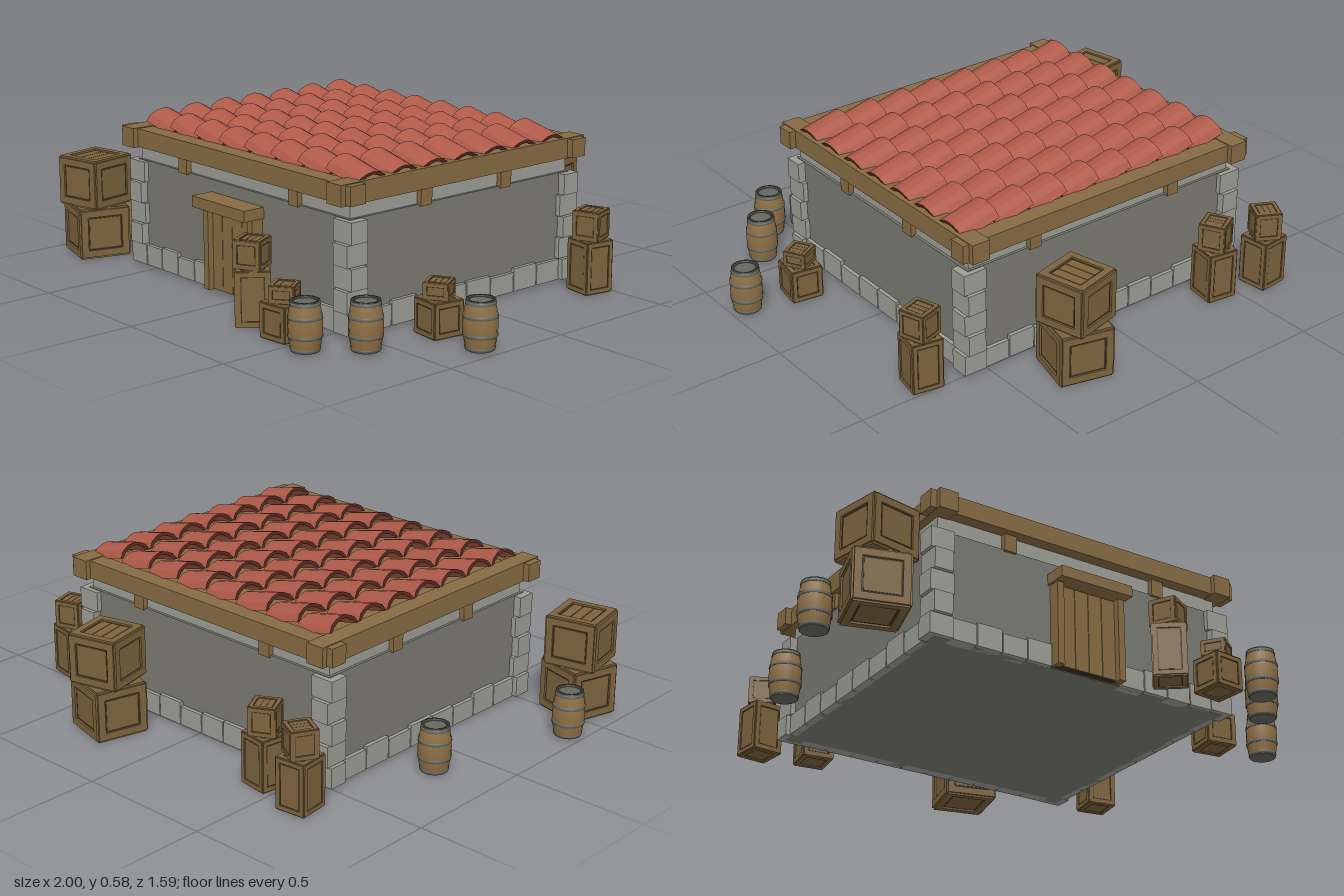
import * as THREE from 'three';

const mat = (name, color) => {
  const m = new THREE.MeshStandardMaterial({ color });
  m.name = name;
  return m;
};

export function createModel() {
  const wood = mat('beamWood', 0x866b43);
  const crateWood = mat('crateWood', 0x7d643e);
  const darkWood = mat('darkWood', 0x40341f);
  const wall = mat('plasterGrey', 0x7a7a72);
  const stone = mat('lightStone', 0x9d9d96);
  const tileRed = mat('tileRed', 0xae5948);
  const tileDark = mat('tileShade', 0x54291f);
  const barrelWood = mat('barrelWood', 0x8f7045);
  const iron = mat('barrelIron', 0x66675f);
  const rimDark = mat('rimDark', 0x3a3b32);

  const model = new THREE.Group();
  model.name = 'storehouse';

  const add = (parent, name, geo, material, x = 0, y = 0, z = 0) => {
    const m = new THREE.Mesh(geo, material);
    m.name = name;
    m.position.set(x, y, z);
    parent.add(m);
    return m;
  };
  // box given by its minimum and maximum corners
  const box = (parent, name, material, x0, x1, y0, y1, z0, z1) =>
    add(parent, name, new THREE.BoxGeometry(x1 - x0, y1 - y0, z1 - z0), material,
      (x0 + x1) / 2, (y0 + y1) / 2, (z0 + z1) / 2);

  // the house is centred slightly off the origin
  const house = new THREE.Group();
  house.name = 'house';
  house.position.set(-0.017, 0, 0.02);
  model.add(house);
  const W = 0.585, D = 0.515; // half width and half depth of the walls

  // walls, upper stone band, roof deck
  box(house, 'walls', wall, -W, W, 0.012, 0.4, -D, D);
  box(house, 'upperBand', stone, -W + 0.01, W - 0.01, 0.4, 0.46, -D + 0.01, D - 0.01);
  box(house, 'roofDeck', wood, -0.58, 0.58, 0.46, 0.508, -0.5, 0.5);

  // corner stones, alternating long and short
  for (const sx of [-1, 1]) for (const sz of [-1, 1]) for (let i = 0; i < 5; i++) {
    const odd = i % 2;
    const w = odd ? 0.07 : 0.09, d = odd ? 0.09 : 0.07;
    const ox = W + (odd ? 0.018 : 0.028), oz = D + (odd ? 0.028 : 0.018);
    add(house, 'cornerStone', new THREE.BoxGeometry(w, 0.075, d), stone,
      sx * (ox - w / 2), 0.05 + i * 0.0775, sz * (oz - d / 2));
  }

  // stones along the foot of every wall, leaving room for the door
  const heights = [0.075, 0.083, 0.07, 0.08, 0.078, 0.07, 0.085];
  const footRow = (from, to, n, place) => {
    const step = (to - from) / n;
    for (let i = 0; i < n; i++) place(from + i * step + 0.002, from + (i + 1) * step - 0.002, 0.012 + heights[i % 7]);
  };
  for (const [a, b, n] of [[-0.53, -0.14, 4], [0.14, 0.53, 4]])
    footRow(a, b, n, (p, q, h) => box(house, 'footStone', stone, p, q, 0.012, h, D - 0.03, D + 0.014));
  footRow(-0.53, 0.53, 10, (p, q, h) => box(house, 'footStone', stone, p, q, 0.012, h, -D - 0.014, -D + 0.03));
  for (const s of [-1, 1]) footRow(-0.46, 0.46, 8, (p, q, h) => {
    const c = s * W;
    box(house, 'footStone', stone, c - 0.014, c + 0.014, 0.012, h, p, q);
  });

  // crossing roof beams and the short posts below them
  for (const s of [-1, 1]) {
    add(house, 'longBeam', new THREE.BoxGeometry(1.256, 0.066, 0.066), wood, 0, 0.489, s * 0.517);
    add(house, 'crossBeam', new THREE.BoxGeometry(0.07, 0.072, 1.138), wood, s * 0.569, 0.489, 0);
    for (const x of [-0.3, 0.31])
      add(house, 'beamPost', new THREE.BoxGeometry(0.048, 0.062, 0.04), wood, x, 0.425, s * (D - 0.01));
    for (const z of [-0.187, 0.187])
      add(house, 'beamPost', new THREE.BoxGeometry(0.04, 0.062, 0.05), wood, s * (W - 0.01), 0.425, z);
  }

  // plank door with jambs and a deep lintel
  box(house, 'doorBacking', darkWood, -0.13, 0.13, 0.015, 0.315, 0.5, 0.534);
  for (let i = 0; i < 4; i++) {
    const x = -0.11 + i * 0.055;
    box(house, 'doorPlank', wood, x + 0.001, x + 0.054, 0.018, 0.313, 0.52, 0.54);
  }
  for (const s of [-1, 1])
    add(house, 'doorJamb', new THREE.BoxGeometry(0.026, 0.303, 0.06), wood, s * 0.124, 0.1665, 0.53);
  box(house, 'doorLintel', wood, -0.146, 0.144, 0.316, 0.356, 0.49, 0.6);

  // arched roof tiles, each tilted so its high end overlaps the next
  const outer = [[-0.069, 0], [-0.054, 0.024], [-0.027, 0.038], [0, 0.043], [0.027, 0.038], [0.054, 0.024], [0.069, 0]];
  const inner = outer.map(([x, y]) => [x * 0.84, Math.max(0, y - 0.011)]).reverse();
  const tileShape = new THREE.Shape([...outer, ...inner].map(([x, y]) => new THREE.Vector2(x, y)));
  const tileGeo = new THREE.ExtrudeGeometry(tileShape, { depth: 0.152, bevelEnabled: false });
  tileGeo.rotateY(Math.PI / 2).rotateZ(-0.23);
  for (let r = 0; r < 7; r++) for (let c = 0; c < 8; c++)
    add(house, 'roofTile', tileGeo, [tileDark, tileRed], -0.563 + c * 0.1425, 0.538, -0.422 + r * 0.1405);

  // crate: dark core, raised frame and panel on each face, slatted lid
  const plate = (w, h, holeW, holeH, depth) => {
    const rect = (C, a, b) => {
      const p = new C();
      p.moveTo(-a / 2, -b / 2).lineTo(a / 2, -b / 2).lineTo(a / 2, b / 2).lineTo(-a / 2, b / 2).closePath();
      return p;
    };
    const s = rect(THREE.Shape, w, h);
    if (holeW) s.holes.push(rect(THREE.Path, holeW, holeH));
    return new THREE.ExtrudeGeometry(s, { depth, bevelEnabled: false });
  };
  const makeCrate = (w, h) => {
    const g = new THREE.Group();
    g.name = 'crate';
    const t = w * 0.035;
    const cw = w - 2 * t, ch = h - 2 * t;
    add(g, 'crateCore', new THREE.BoxGeometry(cw, ch, cw), darkWood, 0, h / 2, 0);
    const bar = w * 0.13;
    const face = (a, b, dist, rx, ry, slats) => {
      const f = new THREE.Group();
      f.name = 'crateFace';
      f.position.y = h / 2;
      f.rotation.set(rx, ry, 0);
      add(f, 'crateFrame', plate(a, b, a - 2 * bar, b - 2 * bar, t), crateWood, 0, 0, dist);
      const pw = a - 2.5 * bar, ph = b - 2.5 * bar, step = pw / slats;
      for (let i = 0; i < slats; i++)
        add(f, 'cratePanel', plate(step - (slats > 1 ? w * 0.015 : 0), ph, 0, 0, t * 0.35), crateWood,
          -pw / 2 + step * (i + 0.5), 0, dist);
      g.add(f);
    };
    for (let i = 0; i < 4; i++) face(cw, ch, cw / 2, 0, i * Math.PI / 2, 1);
    face(cw, cw, ch / 2, -Math.PI / 2, 0, 3);
    face(cw, cw, ch / 2, Math.PI / 2, 0, 1);
    return g;
  };
  // x, z, lower width, height, turn, upper width, height, turn (degrees)
  const stacks = [
    [-0.837, 0.567, 0.195, 0.19, -16, 0.195, 0.185, 11],
    [0.265, -0.682, 0.2, 0.19, -14, 0.195, 0.185, 14],
    [0.235, 0.672, 0.12, 0.195, -38, 0.1, 0.1, 28],
    [0.425, 0.69, 0.12, 0.125, 5, 0.088, 0.06, 35],
    [0.727, 0.29, 0.12, 0.125, -8, 0.088, 0.06, 30],
    [0.725, -0.443, 0.115, 0.19, -10, 0.1, 0.105, 18],
    [-0.628, -0.66, 0.118, 0.19, 6, 0.098, 0.105, -28],
    [-0.43, -0.615, 0.118, 0.19, -8, 0.098, 0.105, 28],
  ];
  for (const [x, z, w1, h1, r1, w2, h2, r2] of stacks) {
    const stack = new THREE.Group();
    stack.name = 'crateStack';
    stack.position.set(x, 0.004, z);
    const low = makeCrate(w1, h1), top = makeCrate(w2, h2);
    low.rotation.y = THREE.MathUtils.degToRad(r1);
    top.rotation.y = THREE.MathUtils.degToRad(r2);
    top.position.y = h1;
    stack.add(low, top);
    model.add(stack);
  }

  // barrels: bulging body, iron hoops, recessed grey lid with dark rim
  const radius = (y) => 0.057 - 0.011 * ((y - 0.083) / 0.083) ** 2;
  const ring = (y0, y1, out) => [y0, (y0 + y1) / 2, y1].map((y) => new THREE.Vector2(radius(y) + out, y));
  const body = new THREE.LatheGeometry(
    [0, 0.03, 0.06, 0.083, 0.106, 0.136, 0.166].map((y) => new THREE.Vector2(radius(y), y)), 16);
  const hoops = [[0.002, 0.012], [0.046, 0.057], [0.109, 0.12], [0.154, 0.164]].map(([a, b]) => {
    const mid = ring(a, b, 0.002);
    return new THREE.LatheGeometry(
      [new THREE.Vector2(radius(a) - 0.001, a), ...mid, new THREE.Vector2(radius(b) - 0.001, b)], 16);
  });
  const lid = new THREE.CylinderGeometry(0.04, 0.04, 0.162, 16);
  const rim = new THREE.LatheGeometry(
    [[0.038, 0.158], [0.047, 0.158], [0.049, 0.168], [0.039, 0.168], [0.038, 0.158]].map(([r, y]) => new THREE.Vector2(r, y)), 16);
  const base = new THREE.CylinderGeometry(0.046, 0.046, 0.004, 16);
  for (const [x, z] of [[-0.778, -0.165], [-0.943, 0.364], [0.938, 0.31], [0.705, 0.588], [0.581, 0.735]]) {
    const b = new THREE.Group();
    b.name = 'barrel';
    b.position.set(x, 0.01, z);
    add(b, 'barrelBody', body, barrelWood);
    for (const h of hoops) add(b, 'barrelHoop', h, iron);
    add(b, 'barrelLid', lid, iron, 0, 0.081, 0);
    add(b, 'barrelRim', rim, rimDark);
    add(b, 'barrelBase', base, iron, 0, 0.002, 0);
    model.add(b);
  }
  return model;
}
